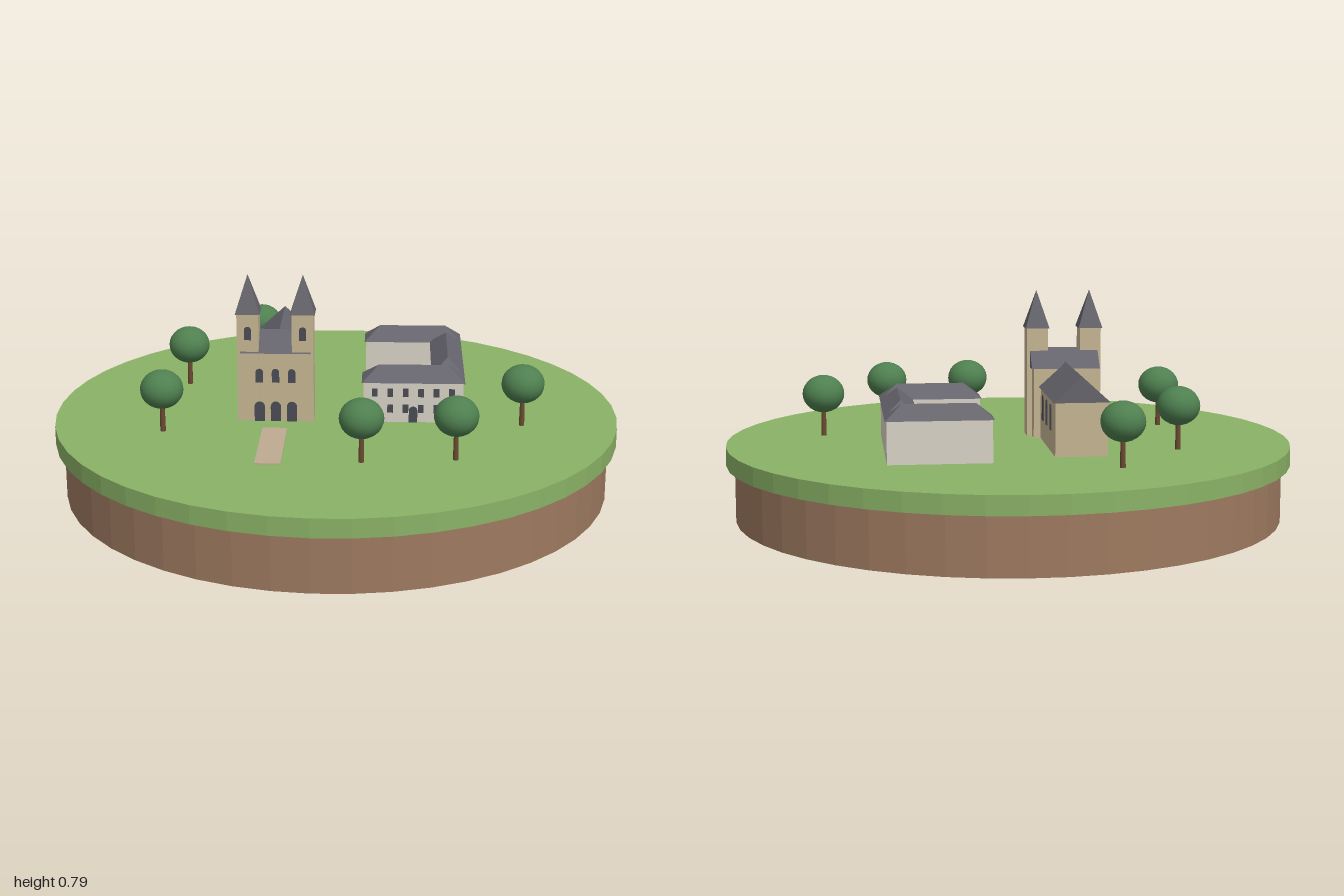
import * as THREE from 'three';

const mat = (name, color) => {
  const m = new THREE.MeshStandardMaterial({ color });
  m.name = name;
  return m;
};

// Hard-edged facets for any geometry
const faceted = (geo) => {
  const g = geo.index ? geo.toNonIndexed() : geo;
  g.computeVertexNormals();
  return g;
};

// Hipped roof, ridge along x, base at y = 0
function hipRoof(w, d, h) {
  const x = w / 2, z = d / 2, r = x - z;
  const A = [-x, 0, z], B = [x, 0, z], C = [x, 0, -z], D = [-x, 0, -z];
  const L = [-r, h, 0], R = [r, h, 0];
  const tris = [A, B, R, A, R, L, C, D, L, C, L, R, B, C, R, D, A, L, A, D, C, A, C, B];
  const g = new THREE.BufferGeometry();
  g.setAttribute('position', new THREE.Float32BufferAttribute(tris.flat(), 3));
  return faceted(g);
}

// Gabled roof, ridge along z, base at y = 0
function gableRoof(w, h, len) {
  const s = new THREE.Shape();
  s.moveTo(-w / 2, 0);
  s.lineTo(w / 2, 0);
  s.lineTo(0, h);
  s.closePath();
  return new THREE.ExtrudeGeometry(s, { depth: len, bevelEnabled: false }).translate(0, 0, -len / 2);
}

// Thin plate with a round top, base at y = 0, facing +z
function archPlate(w, h) {
  const s = new THREE.Shape();
  s.moveTo(-w / 2, 0);
  s.lineTo(w / 2, 0);
  s.lineTo(w / 2, h - w / 2);
  s.absarc(0, h - w / 2, w / 2, 0, Math.PI, false);
  s.closePath();
  return new THREE.ExtrudeGeometry(s, { depth: 0.006, bevelEnabled: false, curveSegments: 6 })
    .translate(0, 0, -0.003);
}

export function createModel() {
  const model = new THREE.Group();
  const grass = mat('grass green', 0x8ab266);
  const soil = mat('soil brown', 0x9e7a60);
  const stone = mat('church stone', 0xc6b592);
  const plaster = mat('pale plaster', 0xd9d3c6);
  const slate = mat('slate roof', 0x66656d);
  const glass = mat('dark opening', 0x4b4b55);
  const pathMat = mat('path sand', 0xbfaa92);
  const leaf = mat('leaf green', 0x4f8050);
  const bark = mat('bark brown', 0x6b4a32);

  const add = (parent, name, geo, material, x = 0, y = 0, z = 0, ry = 0) => {
    const m = new THREE.Mesh(geo, material);
    m.name = name;
    m.position.set(x, y, z);
    m.rotation.y = ry;
    parent.add(m);
    return m;
  };
  // Box given by its limits on each axis
  const block = (parent, name, material, x0, x1, y0, y1, z0, z1) =>
    add(parent, name, new THREE.BoxGeometry(x1 - x0, y1 - y0, z1 - z0), material,
      (x0 + x1) / 2, (y0 + y1) / 2, (z0 + z1) / 2);

  // Round base
  const G = 0.265;
  add(model, 'soilBase', faceted(new THREE.CylinderGeometry(0.97, 0.97, 0.2, 48)), soil, 0, 0.1);
  add(model, 'grassDisc', faceted(new THREE.CylinderGeometry(1, 1, G - 0.2, 48)), grass, 0, (G + 0.2) / 2);

  // Everything built stands on one turned plot
  const plot = new THREE.Group();
  plot.name = 'buildings';
  plot.rotation.y = -Math.PI / 9;
  model.add(plot);

  const church = new THREE.Group();
  church.name = 'church';
  church.position.x = -0.208;
  plot.add(church);

  // Nave with arched side windows
  block(church, 'nave', stone, -0.09, 0.09, G, 0.45, -0.39, 0.02);
  add(church, 'naveRoof', gableRoof(0.194, 0.088, 0.43), slate, 0, 0.45, -0.183);
  for (const z of [-0.07, -0.172, -0.275])
    add(church, 'naveWindow', archPlate(0.034, 0.09), glass, 0.09, 0.34, z, Math.PI / 2);

  // Entrance block
  block(church, 'entranceBlock', stone, -0.115, 0.115, G, 0.515, 0.0, 0.125);
  add(church, 'entranceRoof', gableRoof(0.14, 0.07, 0.245), slate, 0, 0.515, 0.062, Math.PI / 2);
  for (const x of [-0.057, 0, 0.057]) {
    add(church, 'entranceArch', archPlate(0.036, 0.072), glass, x, G, 0.126);
    add(church, 'entranceWindow', archPlate(0.026, 0.05), glass, x, 0.408, 0.126);
  }

  // Twin towers with pyramid spires
  for (const s of [-1, 1]) {
    const x = s * 0.096, z = 0.089;
    block(church, 'tower', stone, x - 0.038, x + 0.038, G, 0.655, z - 0.038, z + 0.038);
    const spire = new THREE.ConeGeometry(0.043 * Math.SQRT2, 0.135, 4).rotateY(Math.PI / 4);
    add(church, 'spire', faceted(spire), slate, x, 0.7225, z);
    add(church, 'towerWindow', archPlate(0.024, 0.048), glass, x, 0.563, z + 0.038);
  }

  // Path to the church door
  block(plot, 'path', pathMat, -0.25, -0.163, G - 0.002, G + 0.004, 0.208, 0.552);

  // Three-winged house around a courtyard
  const house = new THREE.Group();
  house.name = 'house';
  plot.add(house);
  const eave = 0.41, rise = 0.05, o = 0.006;
  for (const [name, z0, z1] of [['frontWing', 0.004, 0.127], ['backWing', -0.48, -0.364]]) {
    block(house, name, plaster, 0.094 + o, 0.457 - o, G, eave, z0 + o, z1 - o);
    add(house, name + 'Roof', hipRoof(0.363, z1 - z0, rise), slate, 0.2755, eave, (z0 + z1) / 2);
  }
  block(house, 'sideWing', plaster, 0.34 + o, 0.457 - o, G, eave, -0.38, 0.02);
  add(house, 'sideWingRoof', hipRoof(0.42, 0.117, rise), slate, 0.3985, eave, -0.18, Math.PI / 2);

  // Front windows in two rows, and the door
  for (let i = 0; i < 6; i++)
    for (const y of [0.315, 0.374])
      add(house, 'houseWindow', new THREE.BoxGeometry(0.02, 0.03, 0.006), glass,
        0.2755 + (i - 2.5) * 0.054, y, 0.127 - o);
  add(house, 'houseDoor', archPlate(0.03, 0.058), glass, 0.2755, G, 0.127 - o);

  // Trees
  const trunkGeo = new THREE.CylinderGeometry(0.008, 0.01, 0.12, 8);
  const crownGeo = new THREE.SphereGeometry(0.075, 20, 14).scale(1, 0.9, 1);
  const spots = [[-0.09, -0.666], [-0.43, -0.457], [-0.64, 0.024], [-0.08, 0.52], [0.225, 0.596], [0.57, 0.353]];
  for (const [x, z] of spots) {
    const tree = new THREE.Group();
    tree.name = 'tree';
    tree.position.set(x, G, z);
    model.add(tree);
    add(tree, 'trunk', trunkGeo, bark, 0, 0.06);
    add(tree, 'crown', crownGeo, leaf, 0, 0.153);
  }
  return model;
}
